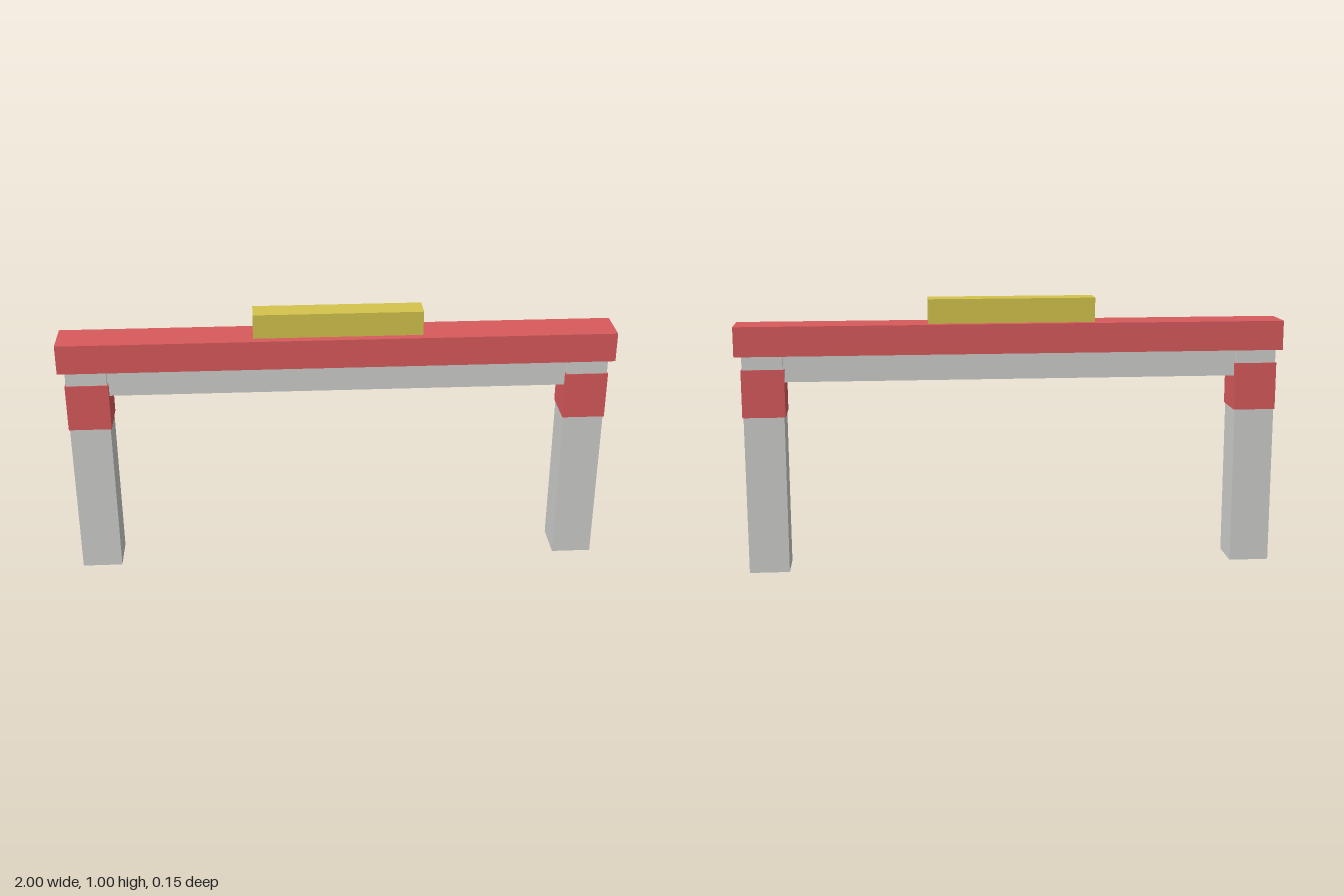
import * as THREE from 'three';

function flat(name, color) {
  const m = new THREE.MeshStandardMaterial({ color });
  m.name = name;
  return m;
}

export function createModel() {
  const grey = flat('light grey', 0xcfcfcd);
  const red = flat('red', 0xd85a5c);
  const yellow = flat('yellow', 0xd4c44c);

  const gate = new THREE.Group();
  gate.name = 'gate';

  // Box between two heights, centred on z = 0
  function block(name, material, x, y0, y1, width, depth) {
    const mesh = new THREE.Mesh(new THREE.BoxGeometry(width, y1 - y0, depth), material);
    mesh.name = name;
    mesh.position.set(x, (y0 + y1) / 2, 0);
    gate.add(mesh);
  }

  // Posts with their painted collars
  for (const [side, s] of [['left', 1], ['right', -1]]) {
    block(side + 'Post', grey, s * 0.9, 0, 0.803, 0.146, 0.146);
    block(side + 'Collar', red, s * 0.9, 0.582, 0.756, 0.154, 0.152);
  }

  // Recessed lower beam between the posts, top beam and sign block
  block('lowerBeam', grey, 0, 0.708, 0.803, 1.66, 0.117);
  block('topBeam', red, 0, 0.803, 0.911, 2, 0.146);
  block('signBlock', yellow, 0, 0.911, 1, 0.607, 0.087);

  return gate;
}
